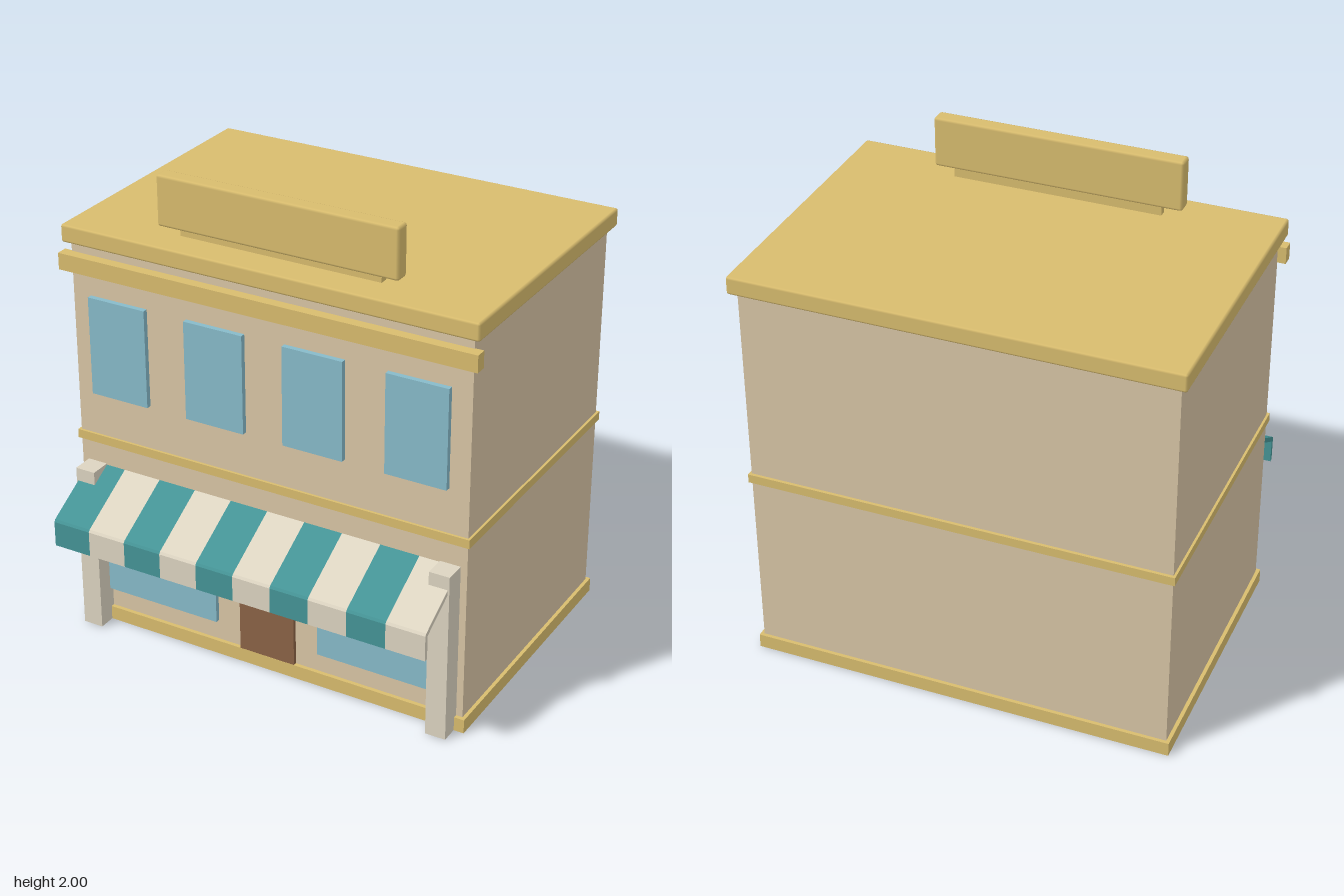
import * as THREE from 'three';
import { RoundedBoxGeometry } from 'three/addons/geometries/RoundedBoxGeometry.js';

function paint(name, hex) {
  const m = new THREE.MeshStandardMaterial({ color: hex });
  m.name = name;
  return m;
}

export function createModel() {
  const wall = paint('tan wall', 0xd8c5a5);
  const trim = paint('ochre trim', 0xd8bc6e);
  const cream = paint('cream', 0xdcd4c1);
  const teal = paint('teal', 0x459496);
  const glass = paint('blue glass', 0x87bac9);
  const wood = paint('brown wood', 0x8b6346);

  const model = new THREE.Group();
  model.name = 'shop';

  function add(name, geometry, material) {
    const mesh = new THREE.Mesh(geometry, material);
    mesh.name = name;
    model.add(mesh);
    return mesh;
  }

  // Box given by its limits on each axis; a bevel softens the edges
  function box(name, material, [x0, x1], [y0, y1], [z0, z1], bevel = 0) {
    const size = [x1 - x0, y1 - y0, z1 - z0];
    const geometry = bevel
      ? new RoundedBoxGeometry(...size, 1, bevel)
      : new THREE.BoxGeometry(...size);
    add(name, geometry, material).position.set((x0 + x1) / 2, (y0 + y1) / 2, (z0 + z1) / 2);
  }

  const FRONT = 0.465; // plane of the front wall

  // Building shell and the bands around it
  box('walls', wall, [-0.87, 0.87], [0.002, 1.7], [-0.695, FRONT]);
  box('plinth', trim, [-0.885, 0.885], [0, 0.06], [-0.71, 0.482]);
  box('floorBand', trim, [-0.88, 0.88], [0.823, 0.86], [-0.708, 0.476]);
  box('cornice', trim, [-0.905, 0.905], [1.57, 1.64], [FRONT - 0.005, 0.508]);
  box('roof', trim, [-0.9, 0.9], [1.68, 1.755], [-0.727, 0.491], 0.01);

  // Blank sign board on its low mount
  box('signMount', trim, [-0.435, 0.435], [1.745, 1.8], [0.325, 0.357]);
  box('signBoard', trim, [-0.52, 0.52], [1.788, 2], [0.321, 0.388], 0.012);

  // Upper windows
  for (const x of [-0.66, -0.22, 0.215, 0.655]) {
    box('upperWindow', glass, [x - 0.13, x + 0.13], [1.05, 1.468], [FRONT - 0.005, 0.487]);
  }

  // Shop windows and pillars on both sides of the door
  for (const side of [-1, 1]) {
    const span = (a, b) => (side > 0 ? [a, b] : [-b, -a]);
    box('shopWindow', glass, span(0.235, 0.765), [0.15, 0.56], [FRONT - 0.005, 0.485]);
    box('pillar', cream, span(0.755, 0.842), [0, 0.73], [FRONT - 0.005, 0.555]);
  }
  box('door', wood, [-0.125, 0.125], [0.055, 0.56], [FRONT - 0.005, 0.481]);

  // Striped awning: bent side profile (z, y) extruded across each stripe
  const profile = new THREE.Shape([
    [FRONT, 0.725], [0.722, 0.578], [0.729, 0.568], [0.729, 0.46],
    [0.711, 0.46], [0.711, 0.561], [FRONT, 0.703],
  ].map(([z, y]) => new THREE.Vector2(z, y)));
  const count = 10;
  const width = 1.67 / count;
  const stripe = new THREE.ExtrudeGeometry(profile, { depth: width, bevelEnabled: false });
  stripe.rotateY(-Math.PI / 2);
  for (let i = 0; i < count; i++) {
    add('awningStripe', stripe, i % 2 ? cream : teal).position.x = -0.835 + (i + 1) * width;
  }

  return model;
}
